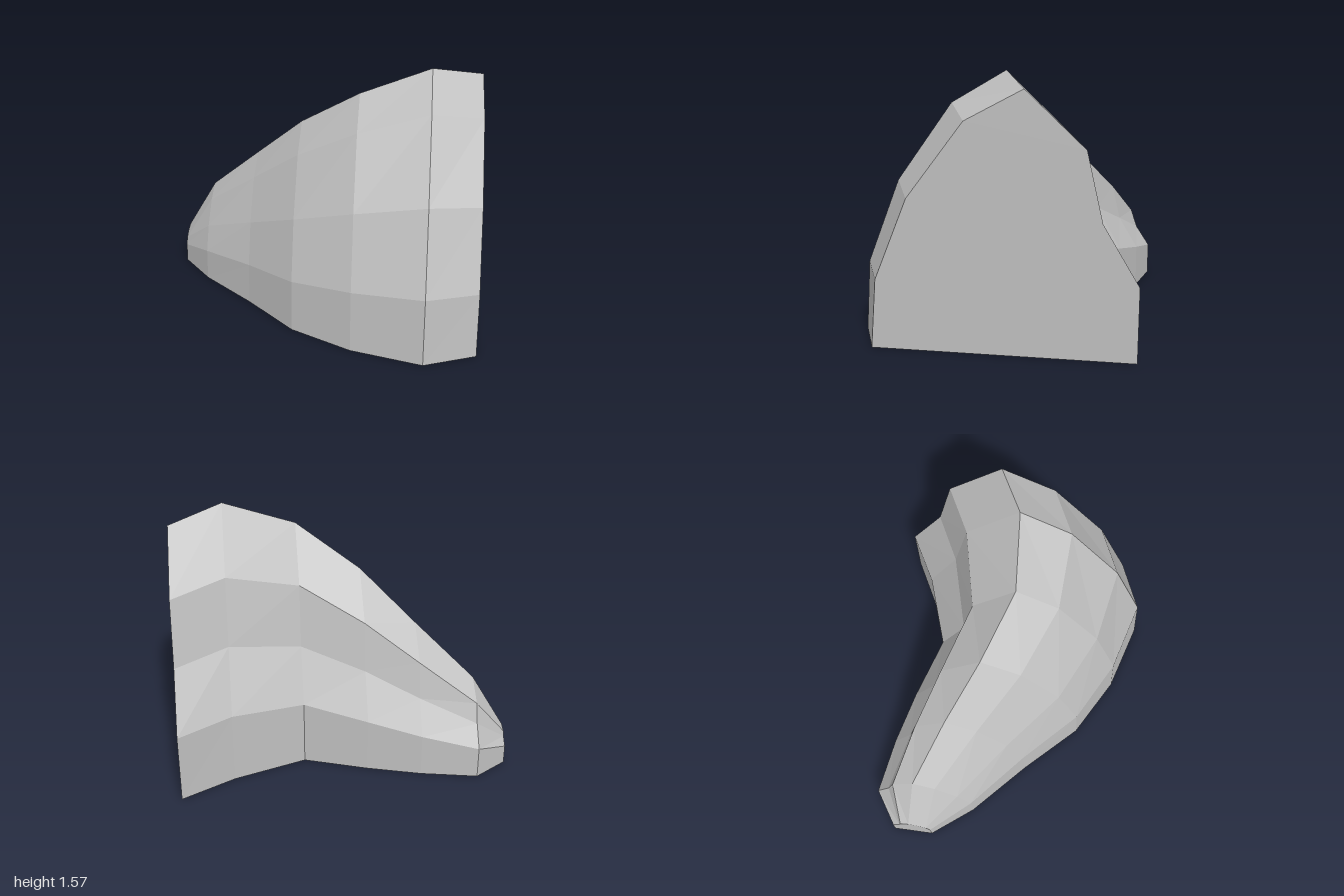
import * as THREE from 'three';

// Cross-sections along x: z and y of each point, from front foot over the ridge to back foot
const SECTIONS = [
  { x: -1.0, z: [-0.40, -0.405, -0.43, -0.49, -0.545, -0.60, -0.61, -0.655, -0.655], y: [0, 0.12, 0.165, 0.20, 0.215, 0.195, 0.165, 0.12, 0] },
  { x: -0.8, z: [-0.145, -0.155, -0.24, -0.38, -0.52, -0.66, -0.70, -0.785, -0.785], y: [0, 0.20, 0.35, 0.49, 0.555, 0.45, 0.33, 0.20, 0] },
  { x: -0.46, z: [0.165, 0.15, 0.04, -0.15, -0.35, -0.55, -0.60, -0.72, -0.72], y: [0, 0.265, 0.52, 0.76, 0.865, 0.69, 0.47, 0.27, 0] },
  { x: -0.14, z: [0.49, 0.475, 0.335, 0.085, -0.165, -0.42, -0.48, -0.63, -0.63], y: [0, 0.33, 0.69, 1.02, 1.16, 0.91, 0.61, 0.34, 0] },
  { x: 0.24, z: [0.70, 0.68, 0.53, 0.265, 0, -0.27, -0.34, -0.50, -0.50], y: [0, 0.385, 0.83, 1.24, 1.41, 1.11, 0.73, 0.41, 0] },
  { x: 0.68, z: [0.825, 0.80, 0.61, 0.285, -0.035, -0.37, -0.46, -0.65, -0.65], y: [0, 0.42, 0.92, 1.38, 1.57, 1.23, 0.82, 0.45, 0] },
  { x: 1.0, z: [0.695, 0.665, 0.475, 0.145, -0.19, -0.53, -0.62, -0.825, -0.82], y: [0, 0.405, 0.88, 1.32, 1.50, 1.18, 0.78, 0.435, 0] },
];

export function createModel() {
  const grey = new THREE.MeshStandardMaterial({ color: 0xc0c0c0 });
  grey.name = 'stoneGrey';
  const rings = SECTIONS.map((s) => s.z.map((z, i) => [s.x, s.y[i], z]));
  const n = rings[0].length;
  const positions = [];
  const tri = (a, b, c) => positions.push(...a, ...b, ...c);
  const quad = (a, b, c, d) => { tri(a, b, c); tri(a, c, d); };

  // Faceted skin, including the flat underside where each ring closes
  for (let s = 0; s < rings.length - 1; s++) {
    for (let i = 0; i < n; i++) {
      const j = (i + 1) % n;
      quad(rings[s][i], rings[s + 1][i], rings[s + 1][j], rings[s][j]);
    }
  }

  // Flat end caps, laid in bands from foot to ridge
  const tip = rings[0];
  const wide = rings[rings.length - 1];
  for (let i = 0; i < 3; i++) {
    quad(tip[i], tip[i + 1], tip[7 - i], tip[8 - i]);
    quad(wide[8 - i], wide[7 - i], wide[i + 1], wide[i]);
  }
  tri(tip[3], tip[4], tip[5]);
  tri(wide[5], wide[4], wide[3]);

  const geometry = new THREE.BufferGeometry();
  geometry.setAttribute('position', new THREE.Float32BufferAttribute(positions, 3));
  geometry.computeVertexNormals(); // unshared corners keep the facets flat

  const rock = new THREE.Mesh(geometry, grey);
  rock.name = 'rockMound';
  const group = new THREE.Group();
  group.name = 'cutMound';
  group.add(rock);
  return group;
}
